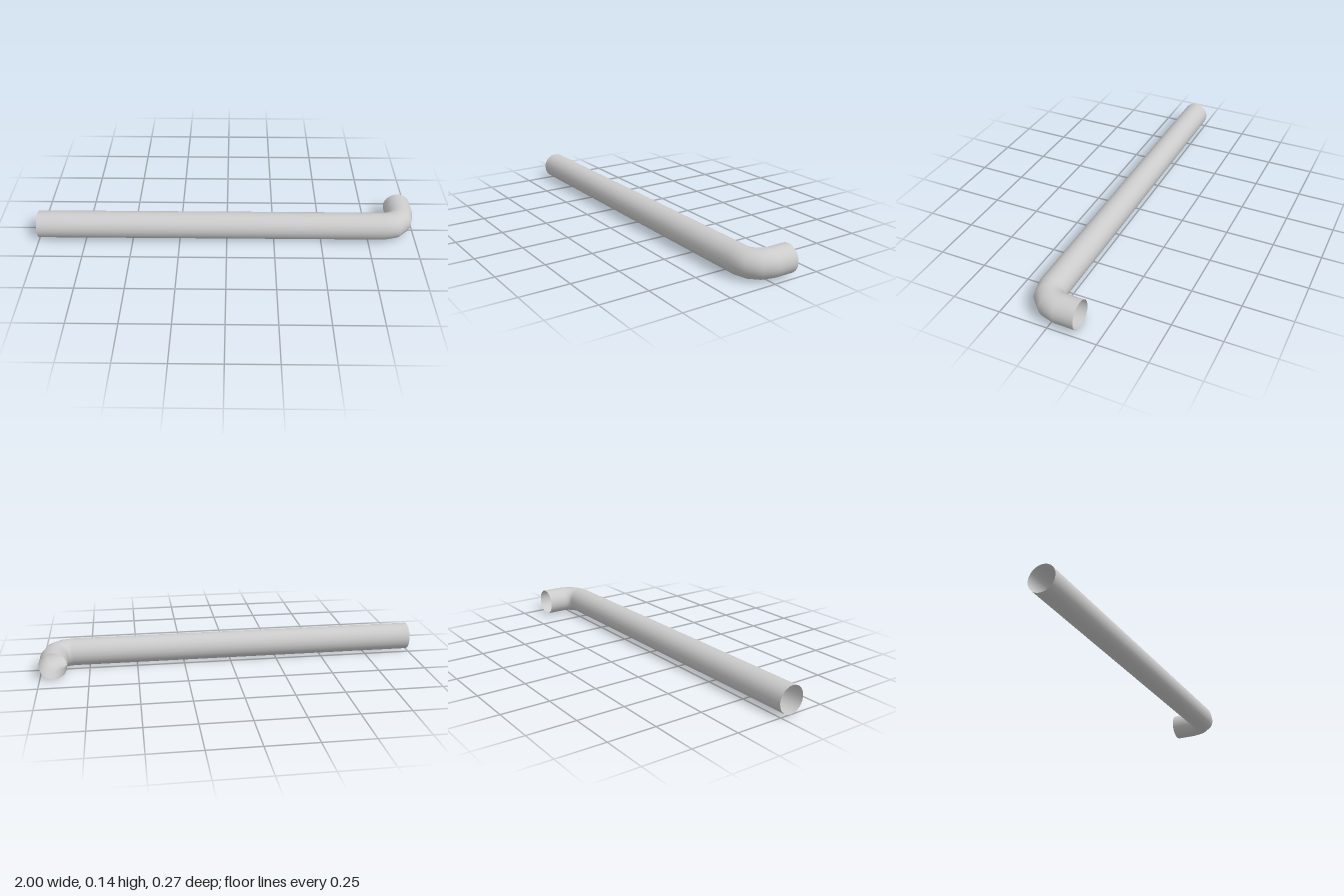
import * as THREE from 'three';

const RADIUS = 0.0715;        // pipe radius
const BEND = 0.0935;          // centre-line radius of the elbow
const PIVOT = { x: 0.835, z: -0.031 };
const END_Z = 0.134;
const BEND_STEPS = 3;
const SIDES = 20;

// Centre and turning angle of each ring: straight run, elbow, short outlet
function pipeRings() {
  const rings = [{ x: -1, z: PIVOT.z + BEND, a: 0 }];
  for (let i = 0; i <= BEND_STEPS; i++) {
    const a = (i / BEND_STEPS) * Math.PI / 2;
    rings.push({ x: PIVOT.x + BEND * Math.sin(a), z: PIVOT.z + BEND * Math.cos(a), a });
  }
  rings.push({ x: PIVOT.x + BEND, z: -END_Z, a: Math.PI / 2 });
  return rings;
}

// Open cylinder whose rows are moved onto the rings, normals included
function bentPipeGeometry() {
  const rings = pipeRings();
  const rows = rings.length - 1;
  const geo = new THREE.CylinderGeometry(1, 1, 1, SIDES, rows, true);
  const pos = geo.attributes.position;
  const nor = geo.attributes.normal;
  for (let i = 0; i < pos.count; i++) {
    const ring = rings[Math.round((0.5 - pos.getY(i)) * rows)];
    const side = pos.getX(i);
    const n = new THREE.Vector3(side * Math.sin(ring.a), -pos.getZ(i), side * Math.cos(ring.a));
    nor.setXYZ(i, n.x, n.y, n.z);
    pos.setXYZ(i, ring.x + RADIUS * n.x, RADIUS + RADIUS * n.y, ring.z + RADIUS * n.z);
  }
  return geo;
}

export function createModel() {
  const group = new THREE.Group();
  group.name = 'bentPipe';
  const material = new THREE.MeshStandardMaterial({ color: 0xcccccc, side: THREE.DoubleSide });
  const pipe = new THREE.Mesh(bentPipeGeometry(), material);
  pipe.name = 'pipe';
  group.add(pipe);
  return group;
}
